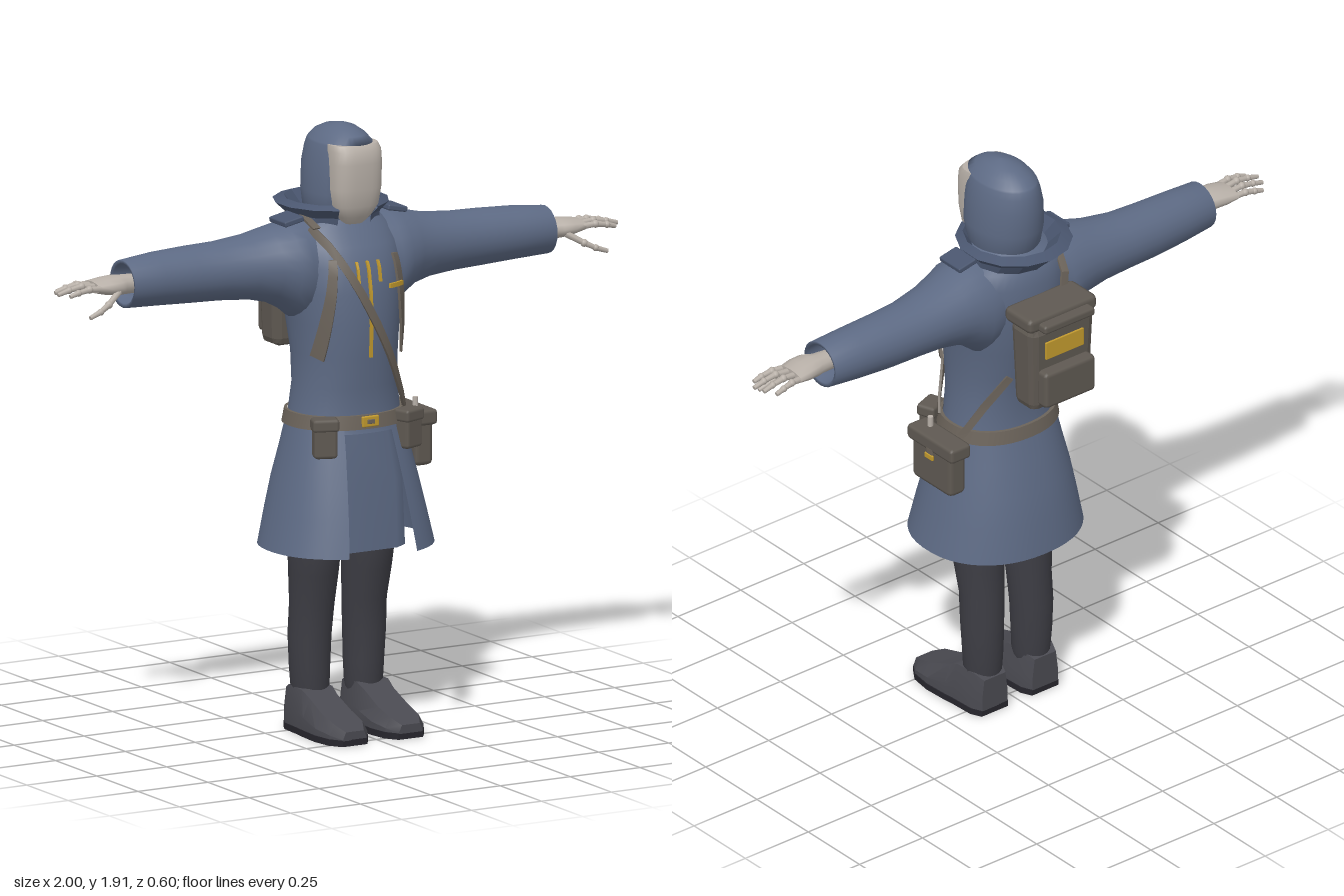
import * as THREE from 'three';
import { toCreasedNormals } from 'three/addons/utils/BufferGeometryUtils.js';
import { RoundedBoxGeometry } from 'three/addons/geometries/RoundedBoxGeometry.js';

const mat = (name, color, side = THREE.FrontSide) => {
  const m = new THREE.MeshStandardMaterial({ color, side });
  m.name = name;
  return m;
};
const V = (x, y, z) => new THREE.Vector3(x, y, z);
const P = 2.2; // squareness of the body sections
const pw = (v, p) => Math.sign(v) * Math.abs(v) ** (2 / p);

// Skin a list of equal-length rings; closed skins are capped and turned outward.
function skin(rings, { loop = true, caps = true } = {}) {
  const n = rings[0].length, pos = [], idx = [];
  rings.forEach(r => r.forEach(p => pos.push(p.x, p.y, p.z)));
  for (let i = 0; i + 1 < rings.length; i++)
    for (let j = 0; j < (loop ? n : n - 1); j++) {
      const k = (j + 1) % n, a = i * n + j, b = i * n + k, c = a + n, d = b + n;
      idx.push(a, c, b, b, c, d);
    }
  if (caps) for (const i of [0, rings.length - 1]) {
    const mid = rings[i].reduce((s, p) => s.add(p), V(0, 0, 0)).divideScalar(n), base = pos.length / 3;
    pos.push(mid.x, mid.y, mid.z);
    rings[i].forEach(p => pos.push(p.x, p.y, p.z));
    for (let j = 0; j < n; j++) {
      const a = base + 1 + j, b = base + 1 + (j + 1) % n;
      i ? idx.push(base, b, a) : idx.push(base, a, b);
    }
  }
  let vol = 0;
  const at = i => V(pos[i * 3], pos[i * 3 + 1], pos[i * 3 + 2]);
  for (let i = 0; i < idx.length; i += 3) vol += at(idx[i]).dot(at(idx[i + 1]).cross(at(idx[i + 2])));
  if (vol < 0) idx.reverse();
  const g = new THREE.BufferGeometry();
  g.setAttribute('position', new THREE.Float32BufferAttribute(pos, 3));
  g.setIndex(idx);
  g.computeVertexNormals();
  return g;
}

function mirror(geo) {
  const g = geo.clone(), a = g.index ? [...g.index.array] : [...Array(g.attributes.position.count).keys()];
  g.setIndex(a.reverse());
  const p = g.attributes.position, n = g.attributes.normal;
  for (let i = 0; i < p.count; i++) { p.setX(i, -p.getX(i)); n.setX(i, -n.getX(i)); }
  return g;
}

// Horizontal ring: y, half width, back z, front z
function ring([y, rx, zb, zf], n = 32, p = P, gap = 0, off = 0) {
  const out = [], span = Math.PI * 2 - gap * 2;
  for (let i = 0; i < (gap ? n + 1 : n); i++) {
    const t = Math.PI / 2 + gap + span * i / n;
    out.push(V(pw(Math.cos(t), p) * (rx + off), y, (zb + zf) / 2 + pw(Math.sin(t), p) * ((zf - zb) / 2 + off)));
  }
  return out;
}
// Ring across the arm: x, low y, high y, back z, front z
const armRing = ([x, y0, y1, zb, zf], n = 24) => Array.from({ length: n }, (_, i) => {
  const t = i / n * Math.PI * 2;
  return V(x, (y0 + y1) / 2 + Math.cos(t) * (y1 - y0) / 2, (zb + zf) / 2 + Math.sin(t) * (zf - zb) / 2);
});

const COAT = [[.59, .27, -.18, .31], [.7, .246, -.166, .286], [.8, .224, -.148, .26], [.9, .2, -.12, .23], [1, .178, -.092, .197],
  [1.1, .164, -.088, .2], [1.2, .163, -.105, .213], [1.3, .172, -.13, .218], [1.4, .185, -.148, .215], [1.48, .19, -.15, .2],
  [1.54, .188, -.148, .17], [1.59, .17, -.135, .13], [1.62, .13, -.11, .11], [1.65, .07, -.07, .08]];
function coatAt(y) {
  const i = Math.max(0, COAT.findIndex(s => s[0] >= y) - 1), a = COAT[i], b = COAT[i + 1], t = (y - a[0]) / (b[0] - a[0]);
  return a.map((v, k) => v + (b[k] - v) * t);
}
// Point and normal on the coat, by x on its front or by angle around it
function onCoat(y, { x, angle }, off = .006) {
  const [, rx, zb, zf] = coatAt(y), rz = (zf - zb) / 2, cz = (zf + zb) / 2;
  const px = x ?? pw(Math.cos(angle), P) * rx;
  const dz = (angle !== undefined ? Math.sign(Math.sin(angle)) : 1) * rz * Math.max(0, 1 - Math.abs(px / rx) ** P) ** (1 / P);
  const n = V(px / rx ** 2, 0, dz / rz ** 2).normalize();
  return { p: V(px, y, cz + dz).addScaledVector(n, off), n };
}
// Flat band through points with normals
function band(pts, w0, w1 = w0, thick = .008) {
  const rings = pts.map(({ p, n }, i) => {
    const tan = pts[Math.min(i + 1, pts.length - 1)].p.clone().sub(pts[Math.max(i - 1, 0)].p).normalize();
    const s = tan.cross(n).normalize().multiplyScalar((w0 + (w1 - w0) * i / (pts.length - 1)) / 2);
    const h = n.clone().multiplyScalar(thick / 2);
    return [p.clone().add(s).add(h), p.clone().sub(s).add(h), p.clone().sub(s).sub(h), p.clone().add(s).sub(h)];
  });
  return toCreasedNormals(skin(rings), .6);
}
const frontBand = (x0, y0, x1, y1, w0, w1, off, thick) => band(Array.from({ length: 13 }, (_, i) =>
  onCoat(y0 + (y1 - y0) * i / 12, { x: x0 + (x1 - x0) * i / 12 }, off)), w0, w1, thick);
const box = (w, h, d, x, y, z, r = .012, turn = 0) => new RoundedBoxGeometry(w, h, d, 1, r).rotateY(turn).translate(x, y, z);
function rod(a, b, r0, r1 = r0, n = 8) {
  const d = b.clone().sub(a), q = new THREE.Quaternion().setFromUnitVectors(V(0, 1, 0), d.clone().normalize());
  return new THREE.CylinderGeometry(r1, r0, d.length(), n).applyQuaternion(q).translate(...a.clone().add(b).multiplyScalar(.5));
}

export function createModel() {
  const root = new THREE.Group();
  const coat = mat('coat blue', 0x5d6a84, THREE.DoubleSide), trim = mat('collar blue', 0x4a566f, THREE.DoubleSide);
  const pale = mat('pale mask', 0xb8b0a8), trouser = mat('trouser charcoal', 0x3d3d44), boot = mat('boot grey', 0x4a4a51);
  const sole = mat('sole black', 0x27262d), canvas = mat('canvas brown', 0x5f5952), strap = mat('strap brown', 0x6b635a);
  const gold = mat('brass', 0xc29a2e);
  const add = (name, geo, m) => {
    const mesh = new THREE.Mesh(geo, m);
    mesh.name = name;
    root.add(mesh);
  };
  const pair = (name, geo, m) => { add(name + 'Left', geo, m); add(name + 'Right', mirror(geo), m); };

  // Coat: body, split skirt, recessed front panel
  add('coatBody', skin([coatAt(.96), ...COAT.slice(4)].map(s => ring(s, 40))), coat);
  add('coatSkirt', skin([...COAT.slice(0, 4), coatAt(1)].map(s => ring(s, 40, P, .42, .003)), { loop: false, caps: false }), coat);
  add('frontPanel', skin([[.585, .15, .2], [.8, .14, .2], [.98, .11, .18]].map(([y, w, z]) =>
    [V(-w, y, z - .03), V(-w * .7, y, z), V(w * .7, y, z), V(w, y, z - .03)]), { loop: false, caps: false }), coat);

  // Sleeves, open at the cuff
  pair('sleeve', skin([[.08, 1.32, 1.62, -.12, .13], [.16, 1.30, 1.618, -.13, .15], [.2, 1.335, 1.61, -.127, .145],
    [.25, 1.362, 1.597, -.122, .122], [.32, 1.378, 1.58, -.115, .1], [.42, 1.385, 1.568, -.11, .08], [.52, 1.388, 1.565, -.108, .073],
    [.64, 1.394, 1.56, -.1, .07], [.755, 1.4, 1.55, -.085, .07], [.752, 1.412, 1.538, -.073, .058], [.68, 1.41, 1.54, -.075, .06]]
    .map(s => armRing(s)), { caps: false }), coat);

  // Collar and shoulder tabs
  const collar = [[1.58, .15, -.13, .12], [1.625, .15, -.165, .13], [1.655, .18, -.21, .16], [1.668, .15, -.17, .14], [1.6, .1, -.1, .1]];
  add('collar', toCreasedNormals(skin(collar.map(s => ring(s, 12, 2, .4)), { loop: false, caps: false }), .3), trim);
  pair('shoulderTab', box(.07, .018, .1, 0, 0, 0, .005).rotateZ(-.2).translate(.185, 1.62, .02), trim);

  // Hood with a flat face opening and a brow above it
  const hood = [[1.59, .08, -.07, .11], [1.64, .108, -.1, .15], [1.7, .113, -.115, .17], [1.78, .108, -.118, .17], [1.83, .097, -.112, .17],
    [1.852, .09, -.104, .165], [1.858, .087, -.1, .163], [1.88, .069, -.075, .135], [1.897, .045, -.035, .1], [1.906, .02, .01, .06], [1.909, .002, .034, .038]];
  add('hood', skin(hood.map(s => ring(s, 32, 2).map(p => (s[0] < 1.855 && (p.z = Math.min(p.z, .115)), p)))), coat);
  add('faceMask', skin([[1.605, .035, .05, .13], [1.63, .056, .05, .152], [1.665, .077, .05, .168], [1.72, .084, .05, .177],
    [1.8, .085, .05, .18], [1.84, .084, .05, .175], [1.858, .08, .05, .158]].map(s => ring(s, 28, 2.8))), pale);

  // Hands: palm, jointed fingers and thumb
  pair('palm', skin([[.69, 1.445, 1.505, -.035, .03], [.765, 1.445, 1.508, -.04, .04], [.79, 1.447, 1.51, -.05, .058],
    [.83, 1.452, 1.506, -.056, .06], [.87, 1.462, 1.498, -.057, .052]].map(s => armRing(s, 12))), pale);
  const digits = [[[.86, 1.48, .04], [.905, 1.484, .045], [.945, 1.478, .047], [.975, 1.47, .047]],
    [[.86, 1.482, .012], [.915, 1.489, .014], [.96, 1.482, .015], [1, 1.472, .015]],
    [[.86, 1.482, -.016], [.91, 1.488, -.018], [.953, 1.481, -.019], [.99, 1.471, -.02]],
    [[.86, 1.479, -.042], [.9, 1.482, -.047], [.935, 1.475, -.05], [.965, 1.467, -.052]],
    [[.8, 1.465, .045], [.85, 1.435, .07], [.885, 1.418, .08], [.925, 1.404, .084]]];
  digits.forEach((d, k) => {
    const pts = d.map(c => V(...c));
    for (let i = 0; i < 3; i++) {
      pair(k === 4 ? 'thumb' : 'finger', rod(pts[i], pts[i + 1], .011 - i * .001, .009 - i * .001), pale);
      pair('fingerJoint', new THREE.SphereGeometry(.0125 - i * .0015, 8, 6).translate(...pts[i + (i < 2 ? 1 : 0)]), pale);
    }
  });

  // Legs
  pair('trouserLeg', skin([[.1, .042, .15, -.048, .065], [.13, .036, .155, -.052, .072], [.2, .033, .16, -.057, .074], [.3, .03, .165, -.059, .08],
    [.4, .024, .163, -.055, .09], [.5, .02, .17, -.056, .115], [.6, .017, .175, -.06, .137], [.8, .008, .165, -.06, .15], [.98, .008, .14, -.05, .14]]
    .map(([y, x0, x1, zb, zf]) => ring([y, (x1 - x0) / 2, zb, zf], 20, 2).map(p => p.add(V((x0 + x1) / 2, 0, 0))))), trouser);

  // Boots: z, half width below and above, height
  const bootCut = [[-.055, .05, .042, .125], [-.02, .066, .054, .14], [.06, .07, .055, .138], [.1, .074, .05, .118],
    [.18, .078, .052, .084], [.25, .068, .05, .064], [.29, .042, .032, .045]];
  pair('boot', toCreasedNormals(skin(bootCut.map(([z, a, b, h]) => [[-a, .018], [a, .018], [a, .05 * h / .1], [b, h], [-b, h], [-a, .05 * h / .1]]
    .map(([x, y]) => V(.1 + x, y, z)))), .5), boot);
  pair('sole', toCreasedNormals(skin(bootCut.map(([z, a]) => [[-a, 0], [a, 0], [a, .02], [-a, .02]]
    .map(([x, y]) => V(.1 + x * 1.04, y, z)))), .5), sole);

  // Belt, buckle and belt pouches
  const belt = [[.975, .002], [.975, .012], [1.018, .012], [1.018, .002]];
  add('belt', toCreasedNormals(skin(belt.map(([y, o]) => ring(coatAt(y), 40, P, 0, o)), { caps: false }), .6), strap);
  add('buckle', box(.06, .034, .012, 0, .998, .213, .004), gold);
  add('buckleCentre', box(.026, .014, .008, 0, .998, .219, .002), strap);
  pair('beltPouch', box(.075, .1, .055, .15, .945, .192, .012, .35), canvas);
  pair('beltPouchLid', box(.084, .04, .064, .15, 1.0, .192, .01, .35), canvas);

  // Side satchel
  add('satchel', box(.065, .145, .19, .232, .89, .056, .016), canvas);
  add('satchelLid', box(.08, .05, .222, .232, .972, .056, .012), canvas);
  add('satchelClasp', box(.008, .018, .04, .271, .93, .056, .003), gold);
  add('satchelTab', box(.008, .04, .03, .268, .94, .056, .003), strap);
  add('satchelTube', rod(V(.222, .97, .11), V(.222, 1.03, .11), .009), pale);

  // Shoulder strap across the chest and up the back
  add('chestStrap', frontBand(-.13, 1.6, .158, 1.01, .026, .026, .014), strap);
  add('strapOverShoulder', band([{ p: V(-.13, 1.6, .11), n: V(0, .6, .8) }, { p: V(-.135, 1.628, .04), n: V(0, 1, .1) },
    { p: V(-.13, 1.622, -.06), n: V(0, 1, -.3) }, { p: V(-.1, 1.55, -.15), n: V(0, .3, -1) }, { p: V(-.08, 1.46, -.165), n: V(0, 0, -1) }], .026), strap);
  add('backStrap', band(Array.from({ length: 9 }, (_, i) => onCoat(.99 + i * .028, { angle: -.25 - i * .11 }, .01)), .024), strap);

  // Chest webbing and brass details
  pair('chestWebbing', frontBand(.105, 1.51, .142, 1.2, .026, .05, .01), strap);
  add('zip', frontBand(0, 1.5, 0, 1.2, .009, .009, .004), gold);
  pair('collarBar', frontBand(.037, 1.5, .037, 1.435, .008, .008, .006), gold);
  add('rankBar', frontBand(.058, 1.42, .112, 1.42, .014, .014, .02), gold);

  // Backpack, tapered toward its foot
  const pack = box(.25, .3, .115, 0, 1.32, -.2125, .025), pp = pack.attributes.position;
  for (let i = 0; i < pp.count; i++) if (pp.getY(i) < 1.25) {
    pp.setX(i, pp.getX(i) * .93);
    pp.setZ(i, -.2125 + (pp.getZ(i) + .2125) * .85);
  }
  pack.computeVertexNormals();
  add('backpack', pack, canvas);
  add('backpackLid', box(.27, .05, .13, 0, 1.485, -.205, .016), canvas);
  add('backpackPocket', box(.2, .125, .05, 0, 1.26, -.28, .014), canvas);
  add('backpackLabel', box(.15, .06, .008, 0, 1.385, -.271, .002), gold);
  add('backpackRoll', box(.2, .03, .06, 0, 1.478, -.272, .01), canvas);
  return root;
}
